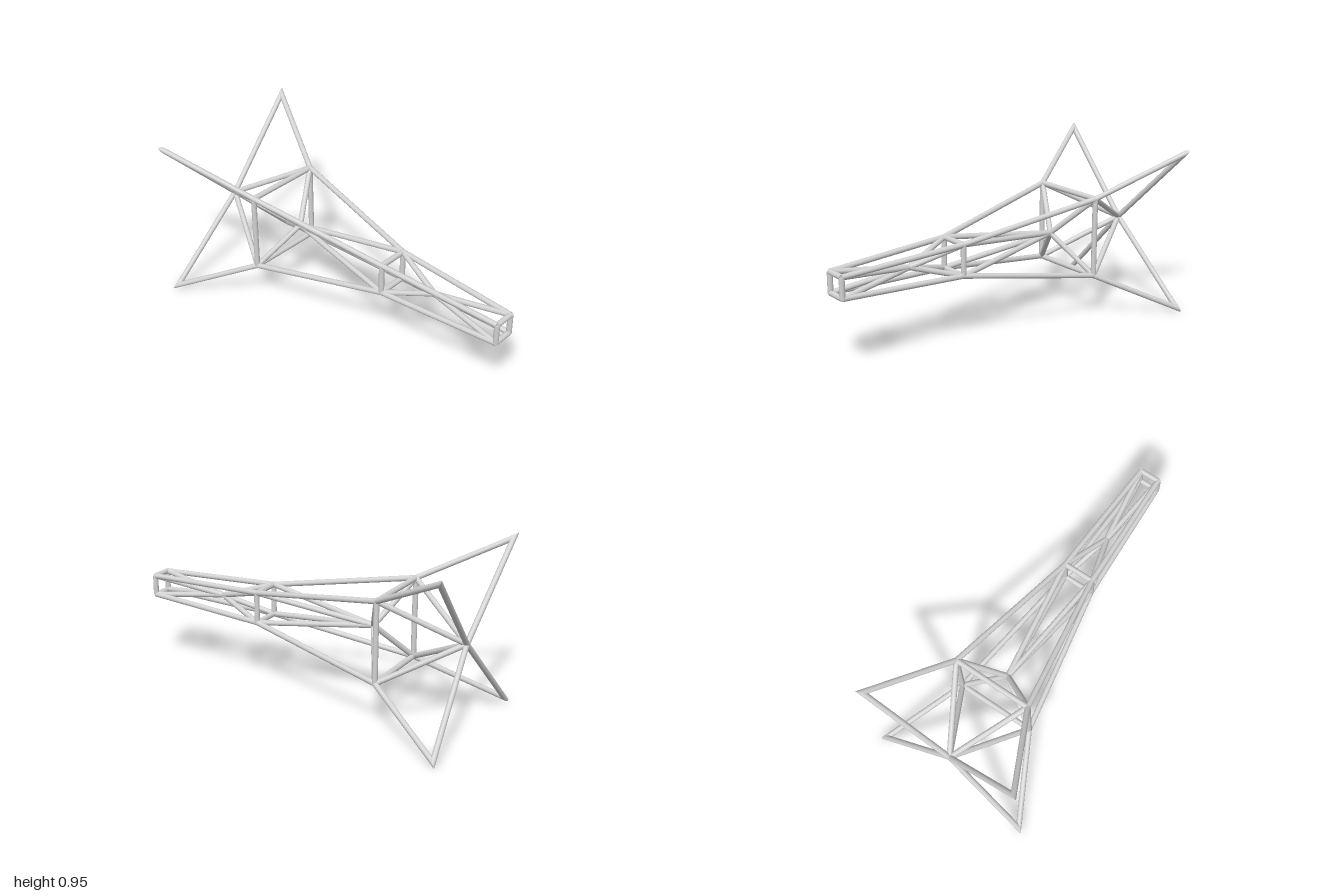
import * as THREE from 'three';

const CENTRE_Y = 0.475;
const RADIUS = 0.015;

export function createModel() {
  const model = new THREE.Group();
  model.name = 'trussFrame';
  const steel = new THREE.MeshStandardMaterial({ color: 0xd2d2d2 });
  steel.name = 'lightSteelGrey';

  // Straight round tube from a to b; a mitre normal cuts the end at b along that plane
  const strut = (name, a, b, mitre) => {
    const dir = b.clone().sub(a);
    const geometry = new THREE.CylinderGeometry(RADIUS, RADIUS, dir.length(), 16);
    const mesh = new THREE.Mesh(geometry, steel);
    mesh.name = name;
    mesh.position.copy(a).add(b).multiplyScalar(0.5);
    mesh.quaternion.setFromUnitVectors(new THREE.Vector3(0, 1, 0), dir.normalize());
    if (mitre) {
      const n = mitre.clone().applyQuaternion(mesh.quaternion.clone().invert());
      const p = geometry.attributes.position;
      for (let i = 0; i < p.count; i++) {
        if (p.getY(i) > 0) p.setY(i, p.getY(i) - (n.x * p.getX(i) + n.z * p.getZ(i)) / n.y);
      }
    }
    model.add(mesh);
  };

  // Four corners of a square cross-section, in order around the axis
  const corners = (half, z) => [[1, 1], [-1, 1], [-1, -1], [1, -1]]
    .map(([x, y]) => new THREE.Vector3(x * half, CENTRE_Y + y * half, z));
  const hub = (z) => new THREE.Vector3(0, CENTRE_Y, z);

  const nose = corners(0.056, 0.985);
  const middle = corners(0.086, 0.265);
  const rear = corners(0.222, -0.54);
  const tips = corners(0.451, -0.983);
  const frontHub = hub(0.55);
  const middleHub = hub(-0.41);
  const rearHub = hub(-0.94);

  for (let i = 0; i < 4; i++) {
    const next = (i + 1) % 4;
    // Square frames
    strut('noseFrame', nose[i], nose[next]);
    strut('middleFrame', middle[i], middle[next]);
    strut('rearFrame', rear[i], rear[next]);
    // Long outer rails
    strut('frontRail', nose[i], middle[i]);
    strut('mainRail', middle[i], rear[i]);
    // Inner braces meeting on the axis
    strut('noseBrace', nose[i], frontHub);
    strut('frontBrace', middle[i], frontHub);
    strut('middleBrace', middle[i], middleHub);
    strut('hubBrace', rear[i], middleHub);
    strut('rearBrace', rear[i], rearHub);
    // Fin edges, mitred together into a sharp tip
    const railDir = tips[i].clone().sub(rear[i]).normalize();
    const braceDir = tips[i].clone().sub(rearHub).normalize();
    const mitre = railDir.sub(braceDir);
    strut('finRail', rear[i], tips[i], mitre);
    strut('finBrace', rearHub, tips[i], mitre);
  }
  return model;
}
